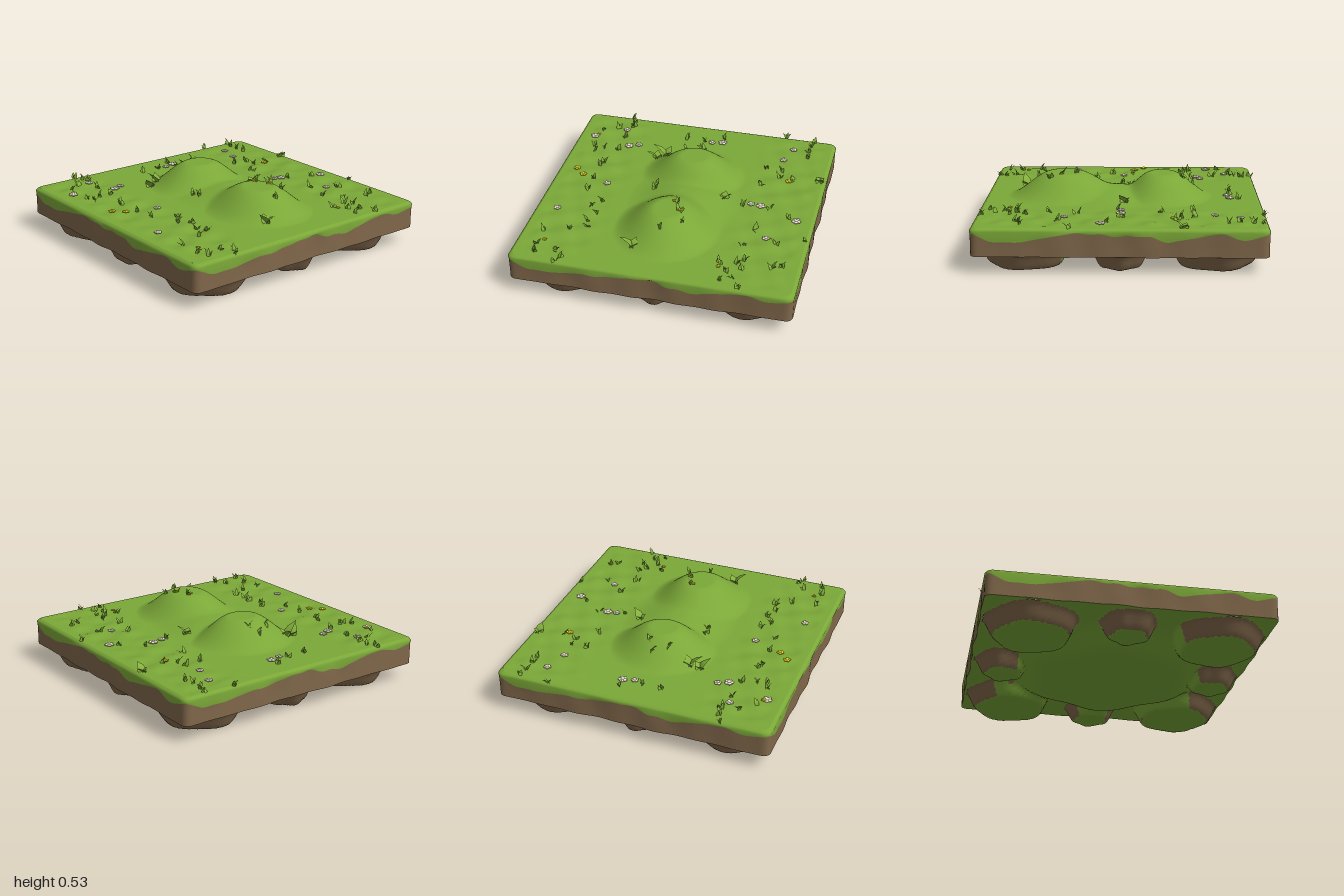
import * as THREE from 'three';
import { mergeGeometries, mergeVertices } from 'three/addons/utils/BufferGeometryUtils.js';

const DS = THREE.DoubleSide;
const grass = new THREE.MeshStandardMaterial({ color: 0x7ba838 });
const soil = new THREE.MeshStandardMaterial({ color: 0x80674a });
const blade = new THREE.MeshStandardMaterial({ color: 0x84b03c, side: DS });
const white = new THREE.MeshStandardMaterial({ color: 0xeee5d0 });
const yellow = new THREE.MeshStandardMaterial({ color: 0xe6d822 });
[grass, soil, blade, white, yellow].forEach((m, i) => {
  m.name = ['grass', 'soil', 'grassBlade', 'whitePetal', 'yellowPetal'][i];
});

let seed = 7;
const rnd = () => (seed = (seed * 16807) % 2147483647) / 2147483647;
const { smoothstep, clamp, lerp } = THREE.MathUtils;
const GROUND = 0.312;

// Surface from a rule f(u, v), both 0..1
function surface(nu, nv, f, flip = false) {
  const pos = [], index = [];
  for (let j = 0; j <= nv; j++) for (let i = 0; i <= nu; i++) pos.push(...f(i / nu, j / nv, j));
  for (let j = 0; j < nv; j++) for (let i = 0; i < nu; i++) {
    const a = j * (nu + 1) + i, b = a + 1, d = a + nu + 1, c = d + 1;
    index.push(...(flip ? [a, c, b, a, d, c] : [a, b, c, a, c, d]));
  }
  let g = new THREE.BufferGeometry();
  g.setAttribute('position', new THREE.Float32BufferAttribute(pos, 3));
  g.setIndex(index);
  g = mergeVertices(g, 1e-5);
  g.computeVertexNormals();
  return g;
}

// Maps a square point (-1..1) into a square with rounded corners
function rounded(u, v, half, r = 0.05) {
  const m = Math.max(Math.abs(u), Math.abs(v)) || 1e-9;
  const px = u / m * half, pz = v / m * half;
  const qx = clamp(px, r - half, half - r), qz = clamp(pz, r - half, half - r);
  const d = Math.hypot(px - qx, pz - qz), k = d > r ? r / d : 1;
  return [(qx + (px - qx) * k) * m, (qz + (pz - qz) * k) * m];
}

// Height of the meadow: two flat-topped hills joined by a saddle
function topHeight(x, z) {
  const hill = (cx, cz, rl, rr, rz, h, flat) => {
    const d = Math.hypot((x - cx) / (x < cx ? rl : rr), (z - cz) / rz);
    const soft = 1 - smoothstep(d, flat, 1), straight = clamp((1 - d) / (1 - flat), 0, 1);
    return h * lerp(soft, straight, 0.35);
  };
  const a = hill(-0.28, -0.02, 0.36, 0.31, 0.38, 0.172, 0.28);
  const b = hill(0.42, 0, 0.44, 0.4, 0.37, 0.172, 0.28);
  const c = hill(0.07, -0.03, 0.5, 0.5, 0.4, 0.077, 0.1);
  const m = Math.max(Math.abs(x), Math.abs(z));
  const rough = smoothstep(Math.abs(z), 0.35, 0.6) * (1 - smoothstep(m, 0.85, 0.95));
  const bumps = 0.006 * (Math.sin(x * 17 + z * 9) * Math.sin(z * 21 - x * 5) + Math.sin(x * 31 + 2) * Math.sin(z * 13));
  return GROUND + (a ** 4 + b ** 4 + c ** 4) ** 0.25 + rough * bumps;
}

// Height of the grass edge along each side (front, right, back, left)
const edgeA = [0.275, 0.22, 0.22, 0.25, 0.28, 0.275, 0.262, 0.265, 0.225, 0.255, 0.28, 0.24, 0.275];
const edgeB = [0.275, 0.222, 0.225, 0.245, 0.25, 0.27, 0.28, 0.245, 0.23, 0.265, 0.28, 0.255, 0.275];
function edgeHeight(s, t) {
  const e = s % 2 ? edgeB : edgeA, k = t * (e.length - 1), i = Math.min(Math.floor(k), e.length - 2);
  return lerp(e[i], e[i + 1], smoothstep(k - i, 0, 1)) + 0.004 * Math.sin(t * 75) * Math.sin(t * Math.PI);
}

// Band around the slab; profile(edge, wave) lists [half width, y]
function band(profile, rows) {
  return surface(384, rows - 1, (u, v, j) => {
    const s = Math.min(Math.floor(u * 4), 3), t = u * 4 - s, w = 2 * t - 1;
    const [x, z] = [[w, 1], [1, -w], [-w, -1], [-1, w]][s];
    const wave = Math.sin(t * Math.PI) * (Math.sin(t * 19 + s) + Math.sin(t * 43 + 1)) * 0.005;
    const [half, y] = profile(edgeHeight(s, t), wave)[j];
    const p = rounded(x, z, half);
    return [p[0], y, p[1]];
  });
}

// Rocky lumps beneath the rim: [x, z, radius]
const lumps = [[0, 0.76, 0.2], [0, -0.76, 0.2], [0.76, 0, 0.2], [-0.76, 0, 0.2]];
for (const sx of [-1, 1]) for (const sz of [-1, 1]) lumps.push([sx * 0.64, sz * 0.64, 0.325]);
function lumpDepth(x, z, [cx, cz, r]) {
  const a = Math.atan2(z - cz, x - cx);
  const d = Math.hypot(x - cx, z - cz) + 0.01 * Math.sin(a * 5 + cx * 7);
  return 1 - smoothstep(d, r - 0.08, r);
}
function bottomHeight(x, z) {
  const a = Math.atan2(z, x);
  const core = 1 - smoothstep(Math.hypot(x, z) + 0.03 * Math.sin(a * 6 + 1), 0.5, 0.76);
  return 0.12 - 0.118 * Math.max(core, ...lumps.map(l => lumpDepth(x, z, l)));
}
function bottomIsSoil(x, y, z) {
  if (y < 0.006 || y > 0.1185) return false;
  return lumps.some(l => {
    const dx = x - l[0], dz = z - l[1];
    const outward = (dx * l[0] + dz * l[1]) / (Math.hypot(dx, dz) * Math.hypot(l[0], l[1]));
    return lumpDepth(x, z, l) > 0.01 && outward > -0.45 + 0.25 * Math.sin(x * 23 + z * 17);
  });
}

function undersideGeometry() {
  const g = surface(130, 130, (u, v) => {
    const [x, z] = rounded(2 * u - 1, 2 * v - 1, 0.965);
    return [x, bottomHeight(x, z), z];
  });
  const p = g.attributes.position, ix = g.index.array, lists = [[], []];
  for (let i = 0; i < ix.length; i += 3) {
    const t = [ix[i], ix[i + 1], ix[i + 2]];
    const mid = f => t.reduce((s, k) => s + f.call(p, k), 0) / 3;
    lists[bottomIsSoil(mid(p.getX), mid(p.getY), mid(p.getZ)) ? 1 : 0].push(...t);
  }
  g.setIndex([...lists[0], ...lists[1]]);
  g.addGroup(0, lists[0].length, 0);
  g.addGroup(lists[0].length, lists[1].length, 1);
  return g;
}

// Bent pointed leaf made from a tapered strip, its face turned upward
function leaf(x, z, angle, height, width, lean) {
  const y = topHeight(x, z) - 0.006, g = surface(1, 3, (u, v) => {
    const w = (u - 0.5) * width * Math.sin(Math.PI * (0.25 + 0.75 * v));
    return [w, height * v, lean * v * v];
  }, true);
  return g.rotateY(angle).translate(x, y, z);
}

// Small blossom: ring of petals and a heart
function blossom(x, z, size) {
  const parts = [];
  for (let i = 0; i < 6; i++) {
    const a = i * Math.PI / 2.5 + x * 9, r = i < 5 ? size * 0.6 : 0;
    parts.push(new THREE.SphereGeometry(size * 0.48, 8, 6).scale(1, 0.5, 1)
      .translate(x + Math.cos(a) * r, topHeight(x, z) + 0.012 + (i === 5 ? 0.004 : 0), z + Math.sin(a) * r));
  }
  return mergeGeometries(parts);
}

const tuftsBack = [[-.95, -.82], [-.9, -.81], [-.8, -.8], [-.72, -.8], [-.97, -.6], [-.5, -.53], [-.42, -.65], [-.28, -.52],
  [-.5, -.65], [-.38, -.76], [.1, -.8], [.42, -.77], [.67, -.85], [.7, -.8], [.35, -.96], [.3, -.6], [.5, -.55], [.65, -.6],
  [.7, -.55], [.75, -.6], [.8, -.5], [.85, -.55], [.9, -.48], [.96, -.61], [.72, -.44], [0, -.65], [.02, -.45]];
const tuftsFront = [[-.97, .64], [-.9, .62], [-.83, .6], [-.8, .71], [-.67, .62], [-.5, .63], [-.47, .74], [-.45, .8],
  [-.3, .69], [-.25, .69], [-.07, .69], [.09, .68], [.2, .55], [.28, .6], [.37, .54], [.45, .57], [.53, .55], [.6, .66],
  [.85, .68], [.92, .62], [.97, .65], [.8, .83], [.9, .82], [.66, .83], [-.73, .83], [-.5, .83]];
const tuftsMiddle = [[-.83, -.13], [-.78, .02], [-.77, .15], [-.5, -.03], [-.43, -.07], [-.44, .08], [0, .2], [-.05, .21],
  [.33, -.04], [.43, -.09], [.52, -.12], [.6, 0]];
const whiteSpots = [[.13, -.86], [-.81, -.68], [-.64, -.63], [0, -.58], [0, -.51], [.38, -.69], [-.77, -.13], [-.75, -.05],
  [-.58, .49], [-.55, .56], [-.77, .64], [0, .57], [-.64, .86], [.37, .83]];
const yellowSpots = [[-.36, -.72], [-.15, .85], [-.08, .78], [.77, -.44], [.76, .79], [-.66, .84], [.33, -.03], [.43, -.09]];
// Each plant: x, z, leaf height, direction of its first leaf
const plants = [[-.47, .24, .1, 0.1], [-.45, .31, .08, 0.6], [.71, .17, .09, 0.3], [-.02, -.31, .07, 2.6], [-.42, -.94, .06, 1.5]];

export function createModel() {
  const group = new THREE.Group();
  const add = (name, geo, mat) => {
    const m = new THREE.Mesh(geo, mat);
    m.name = name;
    group.add(m);
  };

  add('meadow', surface(120, 120, (u, v) => {
    const [x, z] = rounded(2 * u - 1, 2 * v - 1, 0.965);
    return [x, topHeight(x, z), z];
  }, true), grass);
  add('grassRim', band((e, w) => [[0.987 + w * 0.5, e], [0.99, 0.289], [0.982, 0.303], [0.965, GROUND]], 4), grass);
  add('soilBand', band((e, w) => [[0.986 + w, 0.12], [0.986 + w, 0.16],
    [0.986 + w, 0.2], [0.987 + w * 0.5, e]], 4), soil);
  add('underRim', band((e, w) => [[0.965, 0.12], [0.986 + w, 0.12]], 2), grass);
  add('underside', undersideGeometry(), [grass, soil]);

  // Grass tufts of three blades
  const blades = [];
  for (const [x, z] of [...tuftsBack, ...tuftsFront, ...tuftsMiddle]) for (let i = 0; i < 3; i++) {
    blades.push(leaf(x + (rnd() - 0.5) * 0.035, z + (rnd() - 0.5) * 0.025, rnd() * 6.28,
      0.03 + rnd() * 0.03, 0.026, 0.015 + rnd() * 0.025));
  }
  add('grassTufts', mergeGeometries(blades), blade);

  // Broad-leaved plants
  const leaves = [];
  for (const [x, z, h, turn] of plants) for (let i = 0; i < 3; i++) {
    leaves.push(leaf(x, z, i * 2.1 + turn, h * (i ? 0.6 : 1), 0.07, h * (i ? 0.6 : 1)));
  }
  add('leafyPlants', mergeGeometries(leaves), blade);

  add('whiteFlowers', mergeGeometries(whiteSpots.map(([x, z], i) => blossom(x, z, i % 3 ? 0.026 : 0.032))), white);
  add('yellowFlowers', mergeGeometries(yellowSpots.map(([x, z], i) => blossom(x, z, i < 3 ? 0.025 : 0.016))), yellow);
  return group;
}
